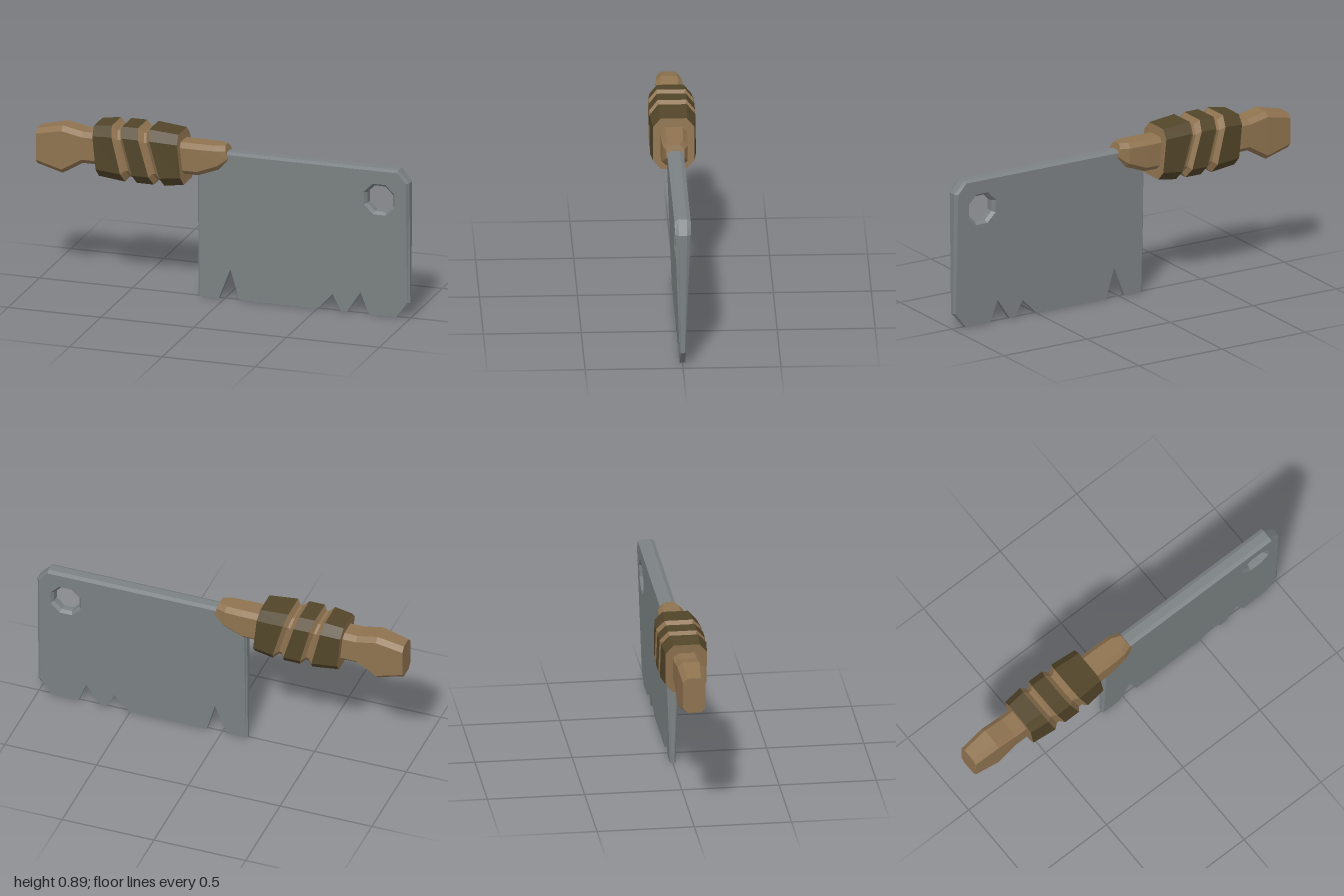
import * as THREE from 'three';

const wood = new THREE.MeshStandardMaterial({ color: 0x8f7350 });
wood.name = 'wood';
const leather = new THREE.MeshStandardMaterial({ color: 0x524529 });
leather.name = 'darkLeather';
const steel = new THREE.MeshStandardMaterial({ color: 0x7c8284 });
steel.name = 'steel';

// Chamfered rectangle around the x axis; lean shifts x with height
function ring({ x, y, hy, hz, cy, cz, lean = 0 }) {
  const outline = [
    [hy, -hz + cz], [hy, hz - cz], [hy - cy, hz], [-hy + cy, hz],
    [-hy, hz - cz], [-hy, -hz + cz], [-hy + cy, -hz], [hy - cy, -hz],
  ];
  return outline.map(([dy, z]) => [x - lean * dy, y + dy, z]);
}

// Faceted skin over rings ordered along +x; materialOf picks a slot per segment
function loft(rings, materialOf = () => 0) {
  const pos = [];
  const geo = new THREE.BufferGeometry();
  const n = rings[0].length;
  const tri = (...pts) => pts.forEach((p) => pos.push(...p));
  for (let i = 0; i < rings.length - 1; i++) {
    const start = pos.length / 3;
    for (let j = 0; j < n; j++) {
      const k = (j + 1) % n;
      const a = rings[i][j], b = rings[i][k], c = rings[i + 1][k], d = rings[i + 1][j];
      tri(a, b, c);
      tri(a, c, d);
    }
    geo.addGroup(start, pos.length / 3 - start, materialOf(i));
  }
  const start = pos.length / 3;
  const first = rings[0], last = rings[rings.length - 1];
  for (let j = 1; j < n - 1; j++) {
    tri(first[0], first[j + 1], first[j]);
    tri(last[0], last[j], last[j + 1]);
  }
  geo.addGroup(start, pos.length / 3 - start, 0);
  geo.setAttribute('position', new THREE.Float32BufferAttribute(pos, 3));
  geo.computeVertexNormals();
  return geo;
}

// Wooden grip: x, bottom, top, half width, lean
function makeHandle() {
  const sections = [
    [-1, 0.63, 0.818, 0.058, 0],
    [-0.86, 0.595, 0.85, 0.068, 0],
    [-0.75, 0.66, 0.828, 0.068, 0],
    [-0.13, 0.66, 0.828, 0.068, 0],
    [-0.03, 0.7, 0.828, 0.064, 0.1],
    [0.022, 0.74, 0.828, 0.046, 0.3],
  ];
  const rings = sections.map(([x, lo, hi, hz, lean]) =>
    ring({ x, y: (lo + hi) / 2, hy: (hi - lo) / 2, hz, cy: 0.024, cz: 0.024, lean }));
  const mesh = new THREE.Mesh(loft(rings), [wood]);
  mesh.name = 'handle';
  return mesh;
}

// Three leaning leather bands with wooden grooves: x, half height, half width, lean
function makeGripWrap() {
  const sections = [
    [-0.671, 0.07, 0.05, 0.1],
    [-0.671, 0.133, 0.106, 0.1],
    [-0.55, 0.147, 0.117, 0.24],
    [-0.525, 0.122, 0.098, 0.27],
    [-0.51, 0.122, 0.098, 0.27],
    [-0.49, 0.147, 0.117, 0.27],
    [-0.402, 0.147, 0.117, 0.29],
    [-0.381, 0.122, 0.098, 0.29],
    [-0.366, 0.122, 0.098, 0.29],
    [-0.343, 0.147, 0.117, 0.28],
    [-0.215, 0.133, 0.106, 0.11],
    [-0.215, 0.07, 0.05, 0.11],
  ];
  const rings = sections.map(([x, hy, hz, lean]) =>
    ring({ x, y: 0.741, hy, hz, cy: hy * 0.34, cz: hz * 0.37, lean }));
  const bands = [1, 5, 9];
  const mesh = new THREE.Mesh(loft(rings, (i) => (bands.includes(i) ? 1 : 0)), [wood, leather]);
  mesh.name = 'gripWrap';
  return mesh;
}

// Notched plate, thin at the cutting edge, with bevelled rim and hole
function makeBlade() {
  const shape = new THREE.Shape([
    [-0.14, 0], [-0.03, 0], [0.035, 0.163], [0.082, 0], [0.5, 0], [0.585, 0.088],
    [0.63, 0], [0.66, 0], [0.735, 0.115], [0.78, 0], [0.925, 0], [1, 0.083],
    [1, 0.73], [0.94, 0.795], [-0.14, 0.795],
  ].map(([x, y]) => new THREE.Vector2(x, y)));
  const hole = new THREE.Vector2(0.842, 0.63);
  const octagon = [];
  for (let i = 0; i < 8; i++) {
    const a = -(i + 0.5) * Math.PI / 4;
    octagon.push(new THREE.Vector2(hole.x + 0.09 * Math.cos(a), hole.y + 0.09 * Math.sin(a)));
  }
  shape.holes.push(new THREE.Path(octagon));

  const geo = new THREE.ExtrudeGeometry(shape, { depth: 1, steps: 3, bevelEnabled: false });
  const p = geo.attributes.position;
  for (let i = 0; i < p.count; i++) {
    let x = p.getX(i), y = p.getY(i);
    const side = p.getZ(i) * 2 - 1;
    const outer = Math.abs(side) > 0.9;
    if (outer) {
      x = THREE.MathUtils.clamp(x, -0.13, 0.986);
      y = Math.min(y, 0.784);
    } else if (Math.hypot(x - hole.x, y - hole.y) < 0.1) {
      x = hole.x + (x - hole.x) * 0.83;
      y = hole.y + (y - hole.y) * 0.83;
    }
    const half = 0.014 + 0.028 * y / 0.784;
    p.setXYZ(i, x, y, Math.sign(side) * half * (outer ? 1 : 0.52));
  }
  geo.computeVertexNormals();
  const mesh = new THREE.Mesh(geo, steel);
  mesh.name = 'blade';
  return mesh;
}

export function createModel() {
  const model = new THREE.Group();
  model.name = 'cleaver';
  model.add(makeHandle(), makeGripWrap(), makeBlade());
  return model;
}
